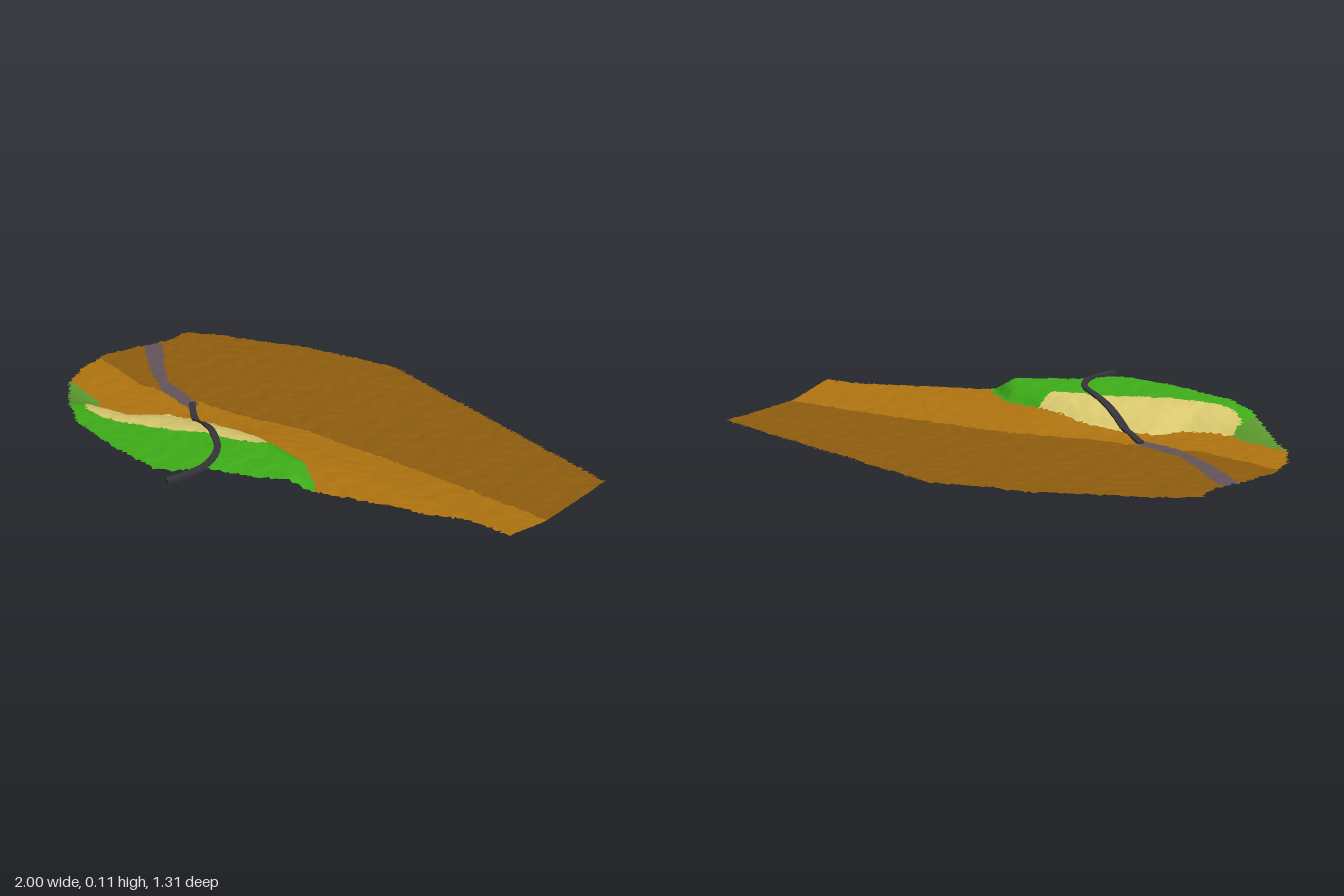
import * as THREE from 'three';

// piecewise-linear lookup of sorted [input, output] pairs
function lerpTable(table, x) {
  if (x <= table[0][0]) return table[0][1];
  for (let i = 1; i < table.length; i++) {
    const [x0, y0] = table[i - 1], [x1, y1] = table[i];
    if (x <= x1) return y0 + (y1 - y0) * (x - x0) / (x1 - x0);
  }
  return table[table.length - 1][1];
}

const clamp01 = (v) => Math.min(1, Math.max(0, v));

// repeatable hash in -1..1
function hash(i, j) {
  const s = Math.sin(i * 127.1 + j * 311.7) * 43758.5453;
  return (s - Math.floor(s)) * 2 - 1;
}

function inside(poly, x, z) {
  let hit = false;
  for (let i = 0, j = poly.length - 1; i < poly.length; j = i++) {
    const [xi, zi] = poly[i], [xj, zj] = poly[j];
    if ((zi > z) !== (zj > z) && x < (xj - xi) * (z - zi) / (zj - zi) + xi) hit = !hit;
  }
  return hit;
}

// ground lines, given as z over x
const slopeFoot = [[-1, 0.2], [-0.7, 0.2], [-0.5, 0.12], [-0.25, 0.04], [0, -0.08], [0.5, -0.22], [1, -0.34]];
const bankFoot = [[-0.9, 0.42], [-0.68, 0.43], [-0.5, 0.35], [-0.42, 0.24], [-0.15, 0.14], [0.05, 0.12], [0.2, 0.11], [0.35, 0.21]];
const bankCrest = [[-0.9, 0.6], [-0.68, 0.58], [-0.5, 0.52], [-0.4, 0.47], [-0.25, 0.38], [-0.05, 0.26], [0.05, 0.21], [0.2, 0.21], [0.35, 0.3]];
const plateau = [[-0.87, 0.015], [-0.68, 0.083], [-0.4, 0.095], [0, 0.105], [0.28, 0.1], [0.36, 0.055]];

function height(x, z) {
  const rise = 0.045 * clamp01((z - lerpTable(slopeFoot, x)) / 0.2) * THREE.MathUtils.smoothstep(x, -0.45, 0);
  const ground = 0.009 + rise;
  const foot = lerpTable(bankFoot, x);
  const t = x > 0.38 ? 0 : clamp01((z - foot) / (lerpTable(bankCrest, x) - foot));
  return ground + (lerpTable(plateau, x) - ground) * t * (2 - t);
}

// outer edge of the land
const outline = [[-0.92, -0.2], [-0.8, -0.3], [-0.6, -0.42], [-0.45, -0.52], [-0.2, -0.63], [-0.1, -0.68], [1.01, -0.68],
  [1.01, -0.13], [0.85, -0.09], [0.72, 0], [0.62, 0.05], [0.35, 0.21], [0.2, 0.34], [0.03, 0.45], [-0.03, 0.54], [-0.1, 0.585],
  [-0.3, 0.61], [-0.56, 0.61], [-0.7, 0.55], [-0.8, 0.49], [-0.92, 0.41], [-0.98, 0.3], [-1.0, 0.17], [-0.96, 0.02], [-0.91, -0.1]];

// zones in order of priority; the last takes what is left
const zones = [
  { name: 'dirtTrack', color: 0x64545a, poly: [[-0.97, -0.02], [-0.91, -0.07], [-0.85, -0.03], [-0.75, 0.04], [-0.65, 0.1],
    [-0.43, 0.11], [-0.43, 0.16], [-0.6, 0.165], [-0.75, 0.11], [-0.9, 0.03]] },
  { name: 'sandBank', color: 0xdccb70, poly: [[0.04, 0.12], [0.04, 0.2], [-0.05, 0.26], [-0.15, 0.3], [-0.25, 0.38], [-0.4, 0.47],
    [-0.5, 0.52], [-0.6, 0.53], [-0.68, 0.49], [-0.68, 0.43], [-0.6, 0.4], [-0.5, 0.35], [-0.45, 0.25], [-0.3, 0.18], [-0.15, 0.14]] },
  { name: 'paleGrass', color: 0x5c9930, poly: [[-0.95, 0.4], [-0.72, 0.4], [-0.68, 0.43], [-0.7, 0.53], [-0.8, 0.54], [-0.95, 0.45]] },
  { name: 'grassPlateau', color: 0x3fae19, poly: [[-0.7, 0.43], [-0.55, 0.42], [-0.2, 0.28], [0, 0.15], [0.04, 0.12], [0.2, 0.11],
    [0.28, 0.15], [0.38, 0.21], [0.1, 0.7], [-0.75, 0.7]] },
  { name: 'lightSoil', color: 0xb07410, test: (x, z) => z > lerpTable(slopeFoot, x) },
  { name: 'darkSoil', color: 0x8f5d0e, test: () => true },
];

function material(color) {
  return new THREE.MeshStandardMaterial({ color, side: THREE.DoubleSide });
}

// one rough height field, split into a mesh for each zone
function buildLand(group) {
  const step = 0.0125, nx = 160, nz = 106, x0 = -1, z0 = -0.6875;
  const positions = [], index = [];
  for (let j = 0; j <= nz; j++) {
    for (let i = 0; i <= nx; i++) {
      const gx = x0 + i * step, gz = z0 + j * step;
      const edge = i === 0 || i === nx ? 0 : 1;
      const x = gx + edge * 0.004 * hash(i, j);
      const z = gz + 0.004 * hash(j + 51, i);
      const bumps = 0.002 * Math.sin(x * 41 + 3 * Math.sin(z * 23)) * Math.sin(z * 47 + 2 * Math.sin(x * 19));
      positions.push(x, Math.max(0, height(x, z) + bumps + 0.0017 * hash(i + 17, j + 91)), z);
    }
  }
  for (let j = 0; j < nz; j++) {
    for (let i = 0; i < nx; i++) {
      const a = j * (nx + 1) + i, b = a + 1, c = a + nx + 1, d = c + 1;
      index.push(a, c, b, b, c, d);
    }
  }
  const field = new THREE.BufferGeometry();
  field.setAttribute('position', new THREE.Float32BufferAttribute(positions, 3));
  field.setIndex(index);
  field.computeVertexNormals();

  const faces = zones.map(() => []);
  for (let k = 0; k < index.length; k += 3) {
    const tri = index.slice(k, k + 3);
    const x = tri.reduce((s, v) => s + positions[v * 3], 0) / 3;
    const z = tri.reduce((s, v) => s + positions[v * 3 + 2], 0) / 3;
    if (!inside(outline, x, z)) continue;
    faces[zones.findIndex((q) => (q.poly ? inside(q.poly, x, z) : q.test(x, z)))].push(...tri);
  }
  zones.forEach((zone, n) => {
    field.setIndex(faces[n]);
    const mesh = new THREE.Mesh(field.toNonIndexed(), material(zone.color));
    mesh.name = zone.name;
    group.add(mesh);
  });
}

// narrow paved road: a rectangular section swept over the ground
function buildRoad() {
  const curve = new THREE.CatmullRomCurve3([[-0.45, 0.13], [-0.36, 0.19], [-0.25, 0.235], [-0.13, 0.28], [-0.03, 0.34],
    [0.02, 0.43], [0.02, 0.51], [0, 0.6]].map(([x, z]) => new THREE.Vector3(x, 0, z)));
  const n = 60, half = 0.013, positions = [], index = [];
  for (let i = 0; i <= n; i++) {
    const p = curve.getPointAt(i / n), t = curve.getTangentAt(i / n);
    for (const [side, lift] of [[-1, -0.005], [1, -0.005], [1, 0.008], [-1, 0.008]]) {
      const x = p.x - t.z * half * side, z = p.z + t.x * half * side;
      positions.push(x, height(x, z) + lift, z);
    }
    if (i === n) break;
    for (let k = 0; k < 4; k++) {
      const a = i * 4 + k, b = i * 4 + (k + 1) % 4;
      index.push(a, b, a + 4, b, b + 4, a + 4);
    }
  }
  const e = n * 4;
  index.push(0, 2, 1, 0, 3, 2, e, e + 1, e + 2, e, e + 2, e + 3);
  let geometry = new THREE.BufferGeometry();
  geometry.setAttribute('position', new THREE.Float32BufferAttribute(positions, 3));
  geometry.setIndex(index);
  geometry = geometry.toNonIndexed();
  geometry.computeVertexNormals();
  const mesh = new THREE.Mesh(geometry, material(0x35353a));
  mesh.name = 'pavedRoad';
  return mesh;
}

export function createModel() {
  const group = new THREE.Group();
  group.name = 'coastalTerrain';
  buildLand(group);
  group.add(buildRoad());
  return group;
}
